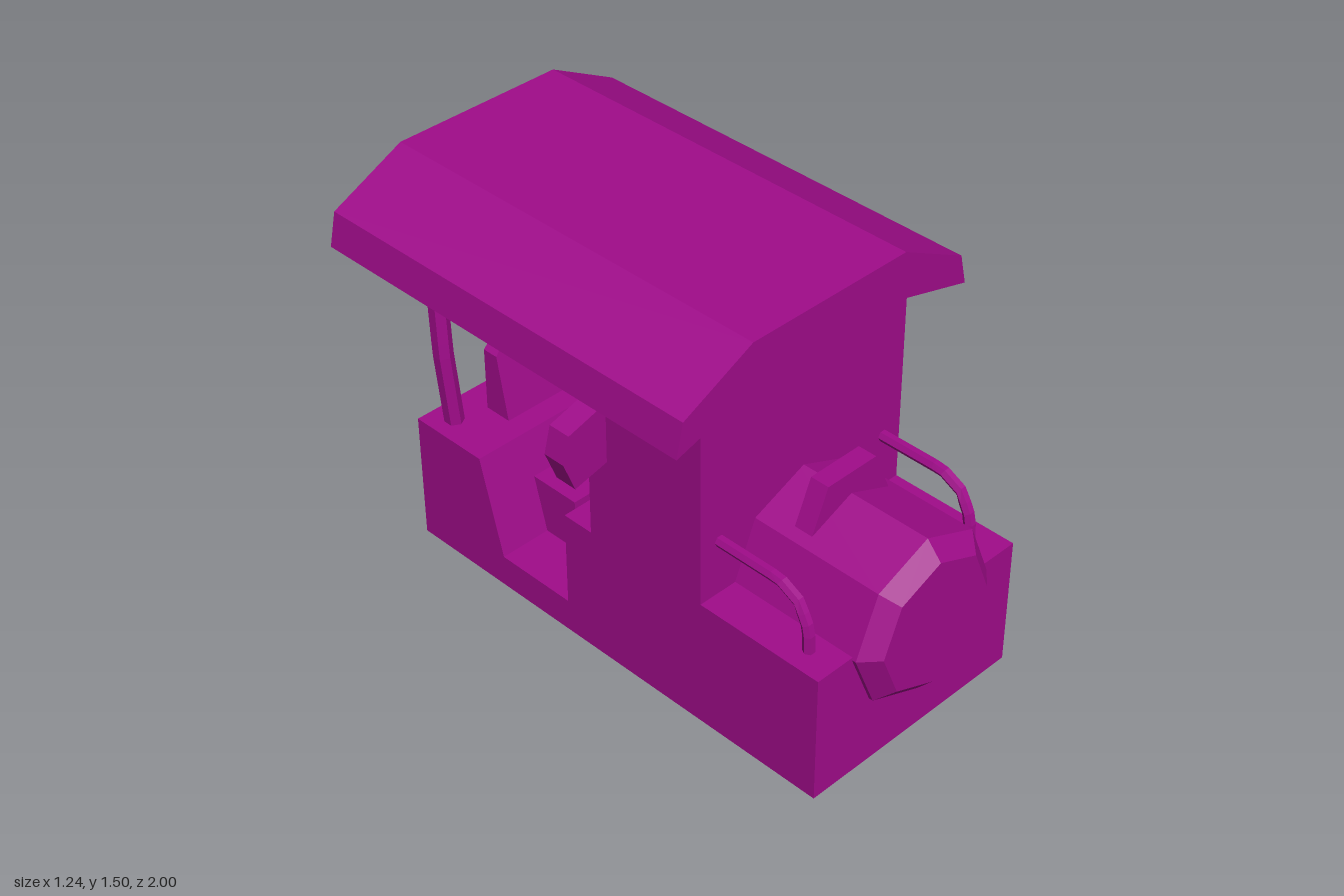
import * as THREE from 'three';

export function createModel() {
  const root = new THREE.Group();
  const mat = new THREE.MeshStandardMaterial({ color: 0xa00c8a, flatShading: true });

  const add = (name, geo) => {
    const mesh = new THREE.Mesh(geo, mat);
    mesh.name = name;
    root.add(mesh);
    return mesh;
  };
  const extrude = (pts, depth) => new THREE.ExtrudeGeometry(
    new THREE.Shape(pts.map(p => new THREE.Vector2(...p))), { depth, bevelEnabled: false });
  // Outline in (x, y), running from z0 to z1
  const frontSlab = (name, pts, z0, z1) => add(name, extrude(pts, z1 - z0).translate(0, 0, z0));
  // Outline in (z, y), running across x
  const sideSlab = (name, pts, width, x = 0) =>
    add(name, extrude(pts, width).translate(0, 0, -width / 2).rotateY(-Math.PI / 2).translate(x, 0, 0));
  // Bent bar made of straight sections
  const bar = (name, pts, radius, sides) => {
    const path = new THREE.CurvePath();
    const v = pts.map(p => new THREE.Vector3(...p));
    for (let i = 1; i < v.length; i++) path.add(new THREE.LineCurve3(v[i - 1], v[i]));
    return add(name, new THREE.TubeGeometry(path, 14, radius, sides));
  };

  // Chassis with the sunken footwell
  sideSlab('chassis', [[0.93, 0.09], [0.93, 0.565], [-0.15, 0.565], [-0.15, 0.21],
    [-0.46, 0.21], [-0.555, 0.565], [-0.86, 0.565], [-0.86, 0.09]], 0.885);
  sideSlab('footrest', [[-0.14, 0.2], [-0.14, 0.285], [-0.24, 0.245], [-0.24, 0.2]], 0.5);

  // Cab: front wall and two side walls, open at the back
  frontSlab('cabFrontWall', [[-0.4425, 0.56], [0.4425, 0.56], [0.4425, 1.33],
    [0.32, 1.36], [-0.32, 1.36], [-0.4425, 1.33]], 0.38, 0.45);

  // Canopy roof
  frontSlab('roof', [[-0.315, 1.505], [-0.592, 1.373], [-0.618, 1.255], [-0.32, 1.342],
    [0.32, 1.342], [0.618, 1.26], [0.592, 1.37], [0.33, 1.505]], -1, 0.53);

  // Octagonal boiler with a chamfered front
  const boiler = (name, rFront, rBack, z0, z1) => add(name,
    new THREE.CylinderGeometry(rFront, rBack, z1 - z0, 8)
      .rotateX(Math.PI / 2).translate(0, 0.557, (z0 + z1) / 2));
  boiler('boiler', 0.297, 0.297, 0.42, 0.945);
  boiler('boilerFront', 0.235, 0.297, 0.945, 1);

  // Trapezoid stack on the boiler
  frontSlab('chimney', [[-0.18, 0.76], [0.18, 0.76], [0.105, 0.935], [-0.105, 0.935]], 0.575, 0.645);

  // Paired parts
  for (const s of [-1, 1]) {
    const side = s > 0 ? 'left' : 'right';
    sideSlab(side + 'CabWall', [[0.44, 0.56], [0.44, 1.325], [-0.03, 1.325], [-0.03, 0.56]],
      0.07, s * 0.4075);
    frontSlab(side + 'Mirror', [[0.42, 1.115], [0.592, 1.065], [0.617, 0.97],
      [0.573, 0.857], [0.42, 0.893]].map(([x, y]) => [s * x, y]), -0.03, 0.052);
    bar(side + 'Handrail', [[s * 0.363, 0.55, 0.82], [s * 0.363, 0.65, 0.815],
      [s * 0.363, 0.73, 0.775], [s * 0.363, 0.768, 0.7], [s * 0.363, 0.768, 0.44]], 0.02, 6);
    bar(side + 'RoofPost', [[s * 0.36, 0.55, -0.77], [s * 0.385, 0.85, -0.775],
      [s * 0.385, 1.12, -0.785], [s * 0.365, 1.36, -0.79]], 0.034, 6);
  }

  // Seat
  sideSlab('seatCushion', [[-0.318, 0.2], [-0.318, 0.41], [-0.53, 0.41], [-0.53, 0.2]], 0.5);
  const back = frontSlab('seatBack', [[-0.24, 0.55], [0.24, 0.55], [0.24, 0.8],
    [0.15, 0.89], [-0.15, 0.89], [-0.24, 0.8]], -0.745, -0.64);
  // Lean the front face of the seat back
  const p = back.geometry.attributes.position;
  for (let i = 0; i < p.count; i++) {
    if (p.getZ(i) > -0.7) p.setZ(i, -0.64 - (p.getY(i) - 0.565) * 0.19);
  }
  back.geometry.computeVertexNormals();

  // Steering wheel, tilted towards the seat
  add('steeringWheel', new THREE.CylinderGeometry(0.085, 0.085, 0.1, 8)
    .rotateX(-Math.PI / 3).translate(0, 0.62, -0.075));

  // Wheel blocks
  for (const [name, z] of [['frontWheels', 0.425], ['rearWheels', -0.432]]) {
    sideSlab(name, [[z + 0.108, 0.1], [z + 0.045, 0], [z - 0.045, 0], [z - 0.108, 0.1]], 0.4);
  }
  return root;
}
